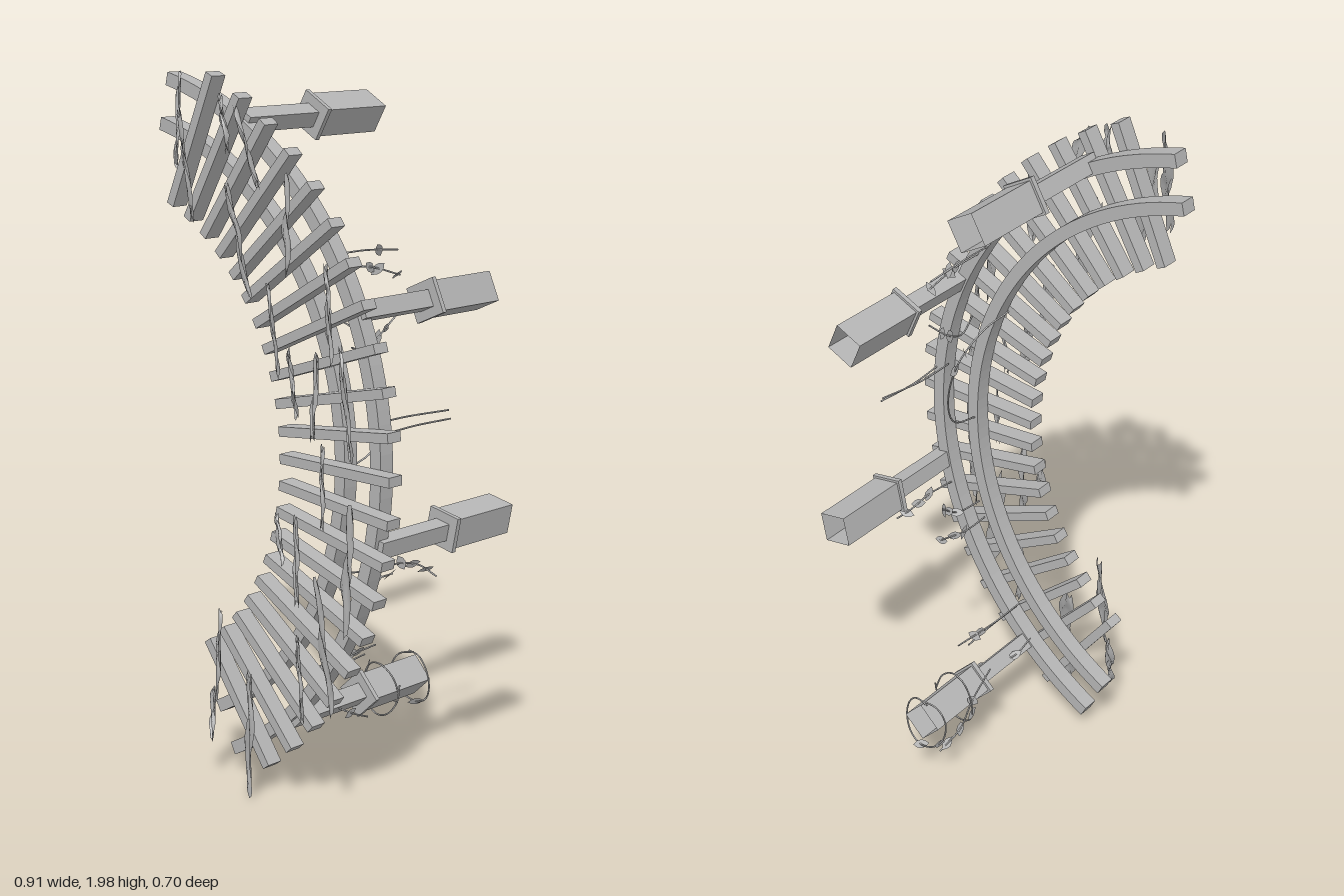
import * as THREE from 'three';

const CX = -0.67, CY = 0.976; // centre of the arc
const rad = THREE.MathUtils.degToRad;

export function createModel() {
  const group = new THREE.Group();
  const grey = new THREE.MeshStandardMaterial({ color: 0xb4b4b4, side: THREE.DoubleSide });
  grey.name = 'plain grey';

  const add = (name, geo, parent = group) => {
    const m = new THREE.Mesh(geo, grey);
    m.name = name;
    parent.add(m);
    return m;
  };

  // seeded random numbers
  let seed = 7;
  const rnd = () => (seed = (seed * 16807) % 2147483647) / 2147483647;

  // two curved rails
  const rail = (name, r0, r1) => {
    const a = rad(-62.6), b = rad(77);
    const s = new THREE.Shape();
    s.absarc(0, 0, r1, a, b, false);
    s.absarc(0, 0, r0, b, a, true);
    const geo = new THREE.ExtrudeGeometry(s, { depth: 0.048, bevelEnabled: false, curveSegments: 32 });
    add(name, geo).position.set(CX, CY, 0.132);
  };
  rail('outerRail', 0.995, 1.032);
  rail('innerRail', 0.868, 0.904);

  // radial slats
  for (let d = -54; d <= 66; d += 6) {
    const a = rad(d), r = 0.908;
    const slat = add('slat', new THREE.BoxGeometry(0.395, 0.027, 0.05));
    slat.position.set(CX + r * Math.cos(a), CY + r * Math.sin(a), 0.204);
    slat.rotation.z = a;
  }

  // posts with collars and hollow, open-ended bases
  const sleeve = (w, len) => {
    const g = new THREE.CylinderGeometry(w / Math.SQRT2, w / Math.SQRT2, len, 4, 1, true).toNonIndexed();
    g.computeVertexNormals();
    return g.rotateY(Math.PI / 4).rotateX(Math.PI / 2);
  };
  for (const d of [60, 24, -11.5, -47]) {
    const a = rad(d), post = new THREE.Group();
    post.name = 'post';
    post.position.set(CX + 1.025 * Math.cos(a), CY + 1.025 * Math.sin(a), 0);
    post.rotation.z = a;
    add('postShaft', new THREE.BoxGeometry(0.048, 0.048, 0.27), post).position.z = 0.032;
    add('postCollar', new THREE.BoxGeometry(0.1, 0.1, 0.014), post).position.z = -0.103;
    add('postBase', sleeve(0.086, 0.23), post).position.z = -0.225;
    group.add(post);
  }

  // foliage: thin ragged sheets slanting forward toward +x
  const foliage = (x, y0, y1, w, lean, z0 = 0.225) => {
    const rows = 16, cols = 5, pos = [], idx = [];
    const p1 = rnd() * 6, p2 = rnd() * 6, slope = 0.72 + rnd() * 0.2;
    for (let j = 0; j <= rows; j++) {
      const t = j / rows;
      const env = Math.pow(Math.sin(Math.PI * (0.04 + 0.92 * t)), 0.45);
      const left = -w / 2 * env * (0.85 + 0.25 * Math.sin(t * 11 + p1) + 0.25 * (rnd() - 0.5));
      const right = w / 2 * env * (0.85 + 0.25 * Math.sin(t * 9 + p2) + 0.25 * (rnd() - 0.5));
      for (let i = 0; i <= cols; i++) {
        const dx = left + (right - left) * i / cols;
        const ripple = 0.007 * Math.sin(t * 10 + i * 1.3 + p1);
        pos.push(x + lean * (t - 0.5) + dx, y0 + (y1 - y0) * t + 0.012 * Math.sin(i * 2 + p2),
          z0 + slope * (dx + w / 2) + ripple);
        if (j < rows && i < cols) {
          const k = j * (cols + 1) + i, n = k + cols + 1;
          idx.push(k, k + 1, n, k + 1, n + 1, n);
        }
      }
    }
    const g = new THREE.BufferGeometry();
    g.setAttribute('position', new THREE.Float32BufferAttribute(pos, 3));
    g.setIndex(idx);
    g.computeVertexNormals();
    add('foliage', g);
  };
  // x, bottom, top, width, lean
  foliage(-0.37, 1.73, 1.98, 0.08, 0.02, 0.175);
  [
    [-0.27, 1.6, 1.88, 0.11, -0.05], [-0.04, 1.71, 1.9, 0.1, -0.08], [-0.14, 1.79, 1.93, 0.07, -0.03],
    [-0.07, 1.42, 1.7, 0.12, -0.08], [0.11, 1.49, 1.74, 0.11, 0], [0.06, 1.22, 1.45, 0.1, -0.04],
    [0.12, 1.11, 1.28, 0.08, -0.03], [0.26, 1.28, 1.52, 0.1, -0.02], [0.32, 1.03, 1.31, 0.1, -0.04],
    [0.2, 1.06, 1.28, 0.08, 0.02], [0.33, 0.55, 0.9, 0.12, 0.02], [0.22, 0.82, 1.04, 0.06, 0],
    [0.13, 0.6, 0.83, 0.08, 0], [0.06, 0.7, 0.82, 0.07, -0.02], [0.24, 0.32, 0.68, 0.11, -0.06],
    [0.14, 0.27, 0.5, 0.07, -0.02], [-0.16, 0.26, 0.52, 0.11, 0.02], [-0.03, 0.02, 0.36, 0.14, 0.01],
    [-0.21, 0.13, 0.27, 0.07, 0.01],
  ].forEach((f) => foliage(...f));

  // small leaves on the hanging vines
  const leafShape = new THREE.Shape();
  leafShape.moveTo(0, -0.022);
  leafShape.quadraticCurveTo(0.026, 0, 0, 0.026);
  leafShape.quadraticCurveTo(-0.026, 0, 0, -0.022);
  const leaf = (p) => {
    const m = add('vineLeaf', new THREE.ShapeGeometry(leafShape, 4));
    m.position.copy(p);
    m.rotation.set(rnd() * 3, 0.6 + rnd() * 1.2, rnd() * 3);
  };

  // vines trailing behind the rails
  const vine = (points, leaves = []) => {
    const curve = new THREE.CatmullRomCurve3(points.map((p) => new THREE.Vector3(...p)));
    add('vine', new THREE.TubeGeometry(curve, 10 * points.length, 0.0026, 5));
    leaves.forEach((t) => leaf(curve.getPointAt(t)));
  };
  vine([[0.16, 1.53, 0.14], [0.16, 1.53, 0.02], [0.165, 1.52, -0.1]], [0.7]);
  vine([[0.19, 1.5, 0.14], [0.2, 1.49, 0.04], [0.21, 1.46, -0.06]], [0.45, 0.6, 0.95]);
  vine([[0.09, 1.35, 0.14], [0.1, 1.33, 0.04], [0.13, 1.25, -0.03], [0.17, 1.12, -0.03],
    [0.2, 1.0, 0.03], [0.21, 0.96, 0.14]], [0.3, 0.4]);
  vine([[0.22, 1.29, 0.14], [0.2, 1.27, 0.07], [0.19, 1.3, 0], [0.2, 1.36, -0.07]], [0.6, 0.75]);
  vine([[0.31, 1.1, 0.14], [0.31, 1.1, 0.02], [0.335, 1.1, -0.12]]);
  vine([[0.35, 1.08, 0.14], [0.34, 1.08, 0.02], [0.35, 1.08, -0.11]]);
  vine([[0.3, 0.7, 0.14], [0.31, 0.7, 0.04], [0.32, 0.68, -0.03], [0.35, 0.65, -0.06]], [0.45, 0.65, 0.85]);
  vine([[0.18, 0.62, 0.14], [0.18, 0.62, 0.05], [0.2, 0.63, -0.05]], [0.5, 0.7, 0.95]);
  vine([[0.2, 0.67, 0.14], [0.21, 0.67, 0.06], [0.19, 0.74, -0.04]], [0.5, 0.75, 0.95]);
  vine([[0.05, 0.36, 0.14], [0.05, 0.36, 0.02], [0.055, 0.37, -0.14]], [0.65, 0.75]);
  vine([[0.06, 0.345, 0.14], [0.06, 0.345, 0.02], [0.05, 0.35, -0.1]]);
  vine([[-0.01, 0.27, 0.12], [0, 0.24, 0.05], [0.08, 0.2, -0.02], [0.09, 0.18, -0.07]], [0.3, 0.75]);

  // vines wound around the lowest post base
  for (const [z, turn] of [[-0.19, 0], [-0.33, 1.5]]) {
    const pts = [];
    for (let i = 0; i <= 10; i++) {
      const a = turn + i * 0.66;
      pts.push([0.028 + 0.074 * Math.cos(a), 0.22 + 0.078 * Math.sin(a), z + 0.012 * Math.sin(i)]);
    }
    vine(pts, [0.35, 0.5]);
  }
  vine([[-0.02, 0.13, -0.32], [-0.04, 0.18, -0.25], [-0.035, 0.24, -0.19], [-0.015, 0.28, -0.08]], [0.1, 0.3, 0.6]);

  return group;
}
